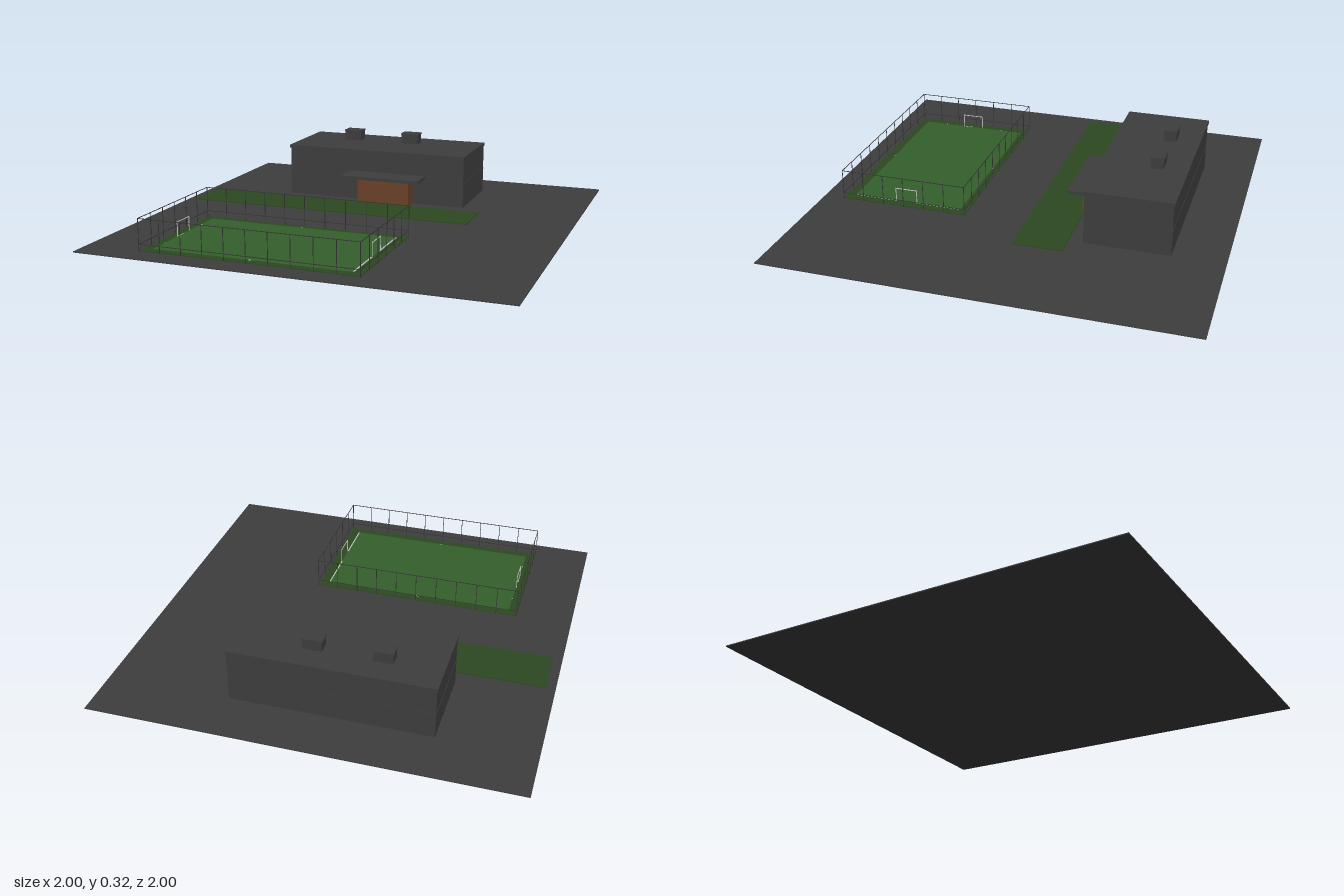
import * as THREE from 'three';

const mat = (name, color) => {
  const m = new THREE.MeshStandardMaterial({ color });
  m.name = name;
  return m;
};

export function createModel() {
  const root = new THREE.Group();
  root.name = 'sportsGround';
  const grey = mat('dark grey', 0x3e3e3e);
  const fenceGrey = mat('fence grey', 0x333333);
  const lawn = mat('lawn green', 0x2c4822);
  const turf = mat('pitch green', 0x355f2c);
  const timber = mat('entrance brown', 0x6b4229);
  const white = mat('line white', 0xc8c8c8);

  // Box given by its lower and upper corners
  const box = (parent, name, material, x0, x1, y0, y1, z0, z1) => {
    const mesh = new THREE.Mesh(new THREE.BoxGeometry(x1 - x0, y1 - y0, z1 - z0), material);
    mesh.position.set((x0 + x1) / 2, (y0 + y1) / 2, (z0 + z1) / 2);
    mesh.name = name;
    parent.add(mesh);
    return mesh;
  };
  const group = (name) => {
    const g = new THREE.Group();
    g.name = name;
    root.add(g);
    return g;
  };

  // Ground and lawn strip
  const G = 0.005;
  box(root, 'ground', grey, -1, 1, 0, G, -1, 1);
  box(root, 'lawnStrip', lawn, -0.955, 0.51, G, 0.009, -0.275, -0.035);

  // Main building with ledge and roof slab
  const building = group('building');
  box(building, 'walls', grey, -0.547, 0.407, G, 0.255, -0.752, -0.345);
  box(building, 'ledge', grey, -0.549, 0.409, 0.128, 0.134, -0.754, -0.343);
  box(building, 'roof', grey, -0.552, 0.411, 0.255, 0.27, -0.757, -0.34);
  box(building, 'entrance', timber, -0.14, 0.137, G, 0.14, -0.345, -0.272);
  box(building, 'canopy', grey, -0.208, 0.205, 0.14, 0.155, -0.345, -0.212);
  for (const x of [-0.282, 0.042]) {
    box(building, 'roofUnit', grey, x - 0.045, x + 0.045, 0.27, 0.318, -0.642, -0.58);
    box(building, 'roofUnitCap', grey, x - 0.048, x + 0.048, 0.318, 0.325, -0.645, -0.577);
  }

  // Sports pitch with the visible ends of its markings
  const pitch = group('pitch');
  box(pitch, 'pitchBorder', lawn, -0.725, 0.317, G, 0.008, 0.267, 0.893);
  box(pitch, 'turf', turf, -0.682, 0.272, 0.008, 0.0095, 0.302, 0.853);
  for (const [z0, z1] of [[0.305, 0.525], [0.635, 0.85]]) {
    box(pitch, 'endLine', white, 0.267, 0.273, 0.008, 0.01, z0, z1);
  }
  box(pitch, 'endLine', white, -0.684, -0.681, 0.008, 0.01, 0.58, 0.64);
  for (const z of [0.303, 0.853]) {
    box(pitch, 'halfwayMark', white, -0.211, -0.199, 0.008, 0.01, z - 0.002, z + 0.002);
  }
  for (const z of [0.415, 0.74]) {
    box(pitch, 'areaMark', white, -0.684, -0.676, 0.008, 0.01, z - 0.002, z + 0.002);
  }

  // Goals
  for (const x of [-0.684, 0.274]) {
    const goal = group('goal');
    const r = 0.0015;
    for (const z of [0.527, 0.635]) box(goal, 'goalPost', white, x - r, x + r, G, 0.078, z - r, z + r);
    box(goal, 'crossbar', white, x - r, x + r, 0.075, 0.078, 0.527, 0.635);
  }

  // Fence: posts on all four sides, with a low and a top rail
  const fence = group('fence');
  const [x0, x1, z0, z1] = [-0.728, 0.318, 0.265, 0.895];
  const t = 0.0013;
  const post = (x, z) => box(fence, 'fencePost', fenceGrey, x - t, x + t, G, 0.156, z - t, z + t);
  for (let i = 0; i <= 10; i++) {
    const x = x0 + (x1 - x0) * i / 10;
    post(x, z0);
    post(x, z1);
  }
  for (let i = 1; i < 6; i++) {
    const z = z0 + (z1 - z0) * i / 6;
    post(x0, z);
    post(x1, z);
  }
  for (const y of [0.037, 0.155]) {
    for (const z of [z0, z1]) box(fence, 'fenceRail', fenceGrey, x0, x1, y - t, y + t, z - t, z + t);
    for (const x of [x0, x1]) box(fence, 'fenceRail', fenceGrey, x - t, x + t, y - t, y + t, z0, z1);
  }
  return root;
}
